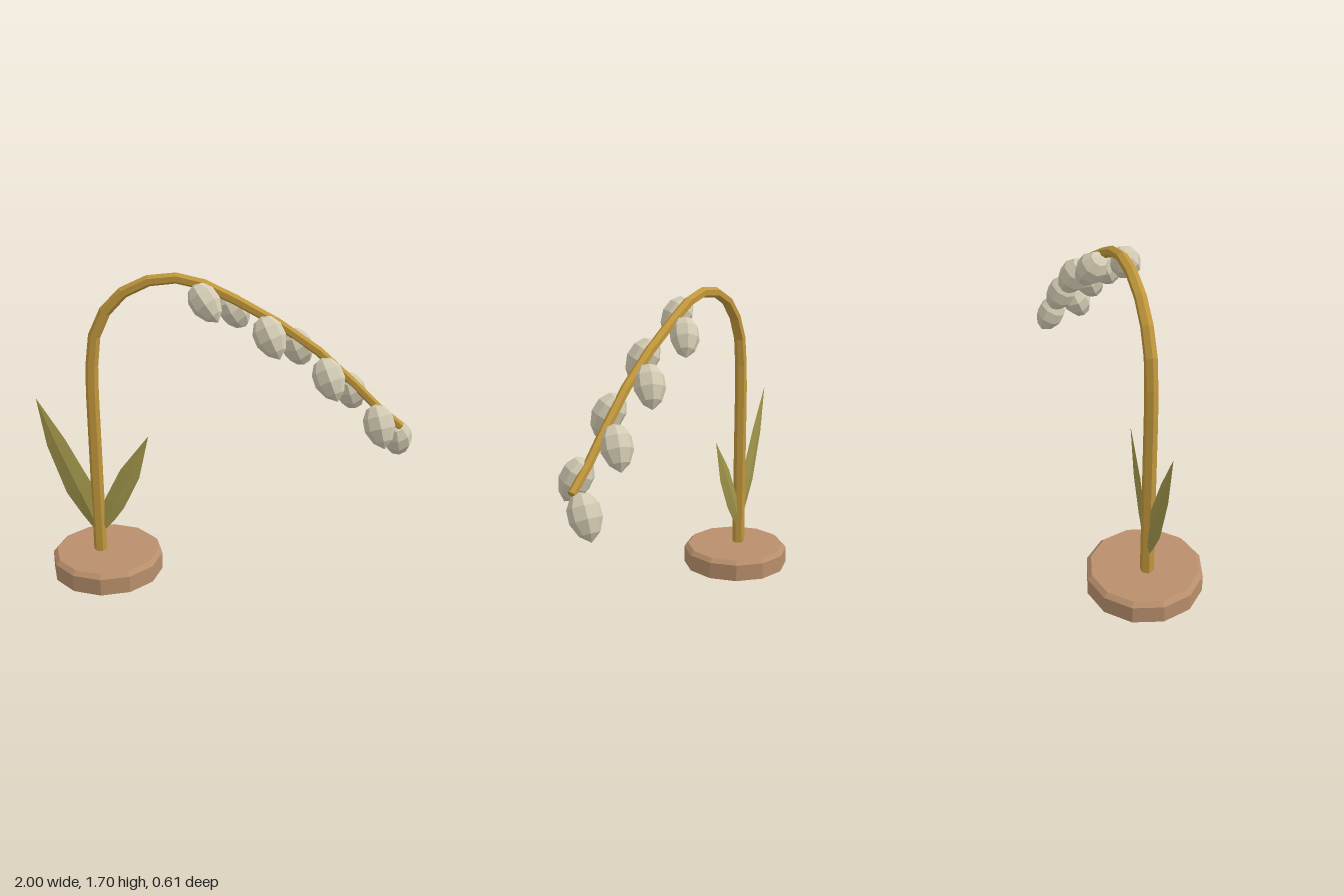
import * as THREE from 'three';

const paint = (name, color, side = THREE.FrontSide) => {
  const m = new THREE.MeshStandardMaterial({ color, flatShading: true, side });
  m.name = name;
  return m;
};

// Sweep a faceted section along a path in the XY plane; rings are [x, y, halfWidth, halfDepth]
function loft(rings, sides) {
  const n = rings.length - 1;
  const geo = new THREE.CylinderGeometry(1, 1, 1, sides, n, false, Math.PI / 2);
  const pos = geo.attributes.position;
  for (let i = 0; i < pos.count; i++) {
    const k = Math.round((pos.getY(i) + 0.5) * n);
    const [x, y, w, d] = rings[k];
    const a = rings[Math.max(k - 1, 0)], b = rings[Math.min(k + 1, n)];
    const t = new THREE.Vector2(b[0] - a[0], b[1] - a[1]).normalize();
    const u = pos.getX(i) * w;
    pos.setXYZ(i, x + t.y * u, y - t.x * u, pos.getZ(i) * d);
  }
  geo.computeVertexNormals();
  return geo;
}

export function createModel() {
  const group = new THREE.Group();
  const wood = paint('wood', 0xb98f6c);
  const brass = paint('brass', 0xc0963c);
  const leafGreen = paint('leafGreen', 0xa0944a);
  const ivory = paint('ivory', 0xd2cab2);

  const add = (name, geo, mat) => {
    const mesh = new THREE.Mesh(geo, mat);
    mesh.name = name;
    group.add(mesh);
    return mesh;
  };

  // Twelve-sided base with a bevelled top edge
  const baseProfile = [[0, 0], [0.305, 0], [0.305, 0.095], [0.282, 0.118], [0, 0.118]];
  const base = add('base', new THREE.LatheGeometry(baseProfile.map(p => new THREE.Vector2(...p)), 12), wood);
  base.position.x = -0.66;

  // Arching six-sided stem that tapers to its tip
  const path = [
    [-0.70, 0.11], [-0.70, 0.6], [-0.70, 1.05], [-0.695, 1.2], [-0.675, 1.36], [-0.615, 1.49],
    [-0.52, 1.59], [-0.39, 1.652], [-0.25, 1.667], [-0.11, 1.635], [0.05, 1.557], [0.265, 1.437],
    [0.475, 1.29], [0.66, 1.12], [0.795, 0.985], [0.922, 0.88],
  ];
  const stemRings = path.map(([x, y], i) => {
    const r = 0.036 - 0.014 * i / (path.length - 1);
    return [x, y, r, r];
  });
  add('stem', loft(stemRings, 6), brass);

  // Two thin pointed leaves with a central ridge
  add('rightLeaf', loft([
    [-0.70, 0.22, 0.012, 0.008], [-0.745, 0.35, 0.05, 0.014], [-0.80, 0.49, 0.075, 0.016],
    [-0.91, 0.76, 0.053, 0.011], [-1.0, 1.01, 0.001, 0.001],
  ], 4), leafGreen);
  add('leftLeaf', loft([
    [-0.70, 0.22, 0.012, 0.008], [-0.655, 0.31, 0.042, 0.013], [-0.61, 0.40, 0.058, 0.015],
    [-0.52, 0.58, 0.056, 0.011], [-0.415, 0.80, 0.001, 0.001],
  ], 4), leafGreen);

  // Eight hanging buds, alternating front and back: [x, y, sideways lean]
  const budProfile = [[0, -0.125], [0.05, -0.085], [0.08, -0.02], [0.078, 0.045], [0.048, 0.095], [0, 0.113]];
  const budGeo = new THREE.LatheGeometry(budProfile.map(p => new THREE.Vector2(...p)), 8);
  const buds = [
    [-0.10, 1.56, 0.75], [0.042, 1.48, 0.6], [0.225, 1.385, 0.5], [0.37, 1.29, 0.45],
    [0.53, 1.165, 0.42], [0.655, 1.05, 0.35], [0.80, 0.91, 0.25], [0.915, 0.787, 0.2],
  ];
  const down = new THREE.Vector3(0, -1, 0);
  buds.forEach(([x, y, lean], i) => {
    const s = i % 2 ? -1 : 1;
    const bud = add('bud' + (i + 1), budGeo, ivory);
    bud.position.set(x, y, s * 0.068);
    bud.quaternion.setFromUnitVectors(down, new THREE.Vector3(lean, -1, s * 0.45).normalize());
    if (i < 2) bud.scale.setScalar(0.95);
  });

  return group;
}
